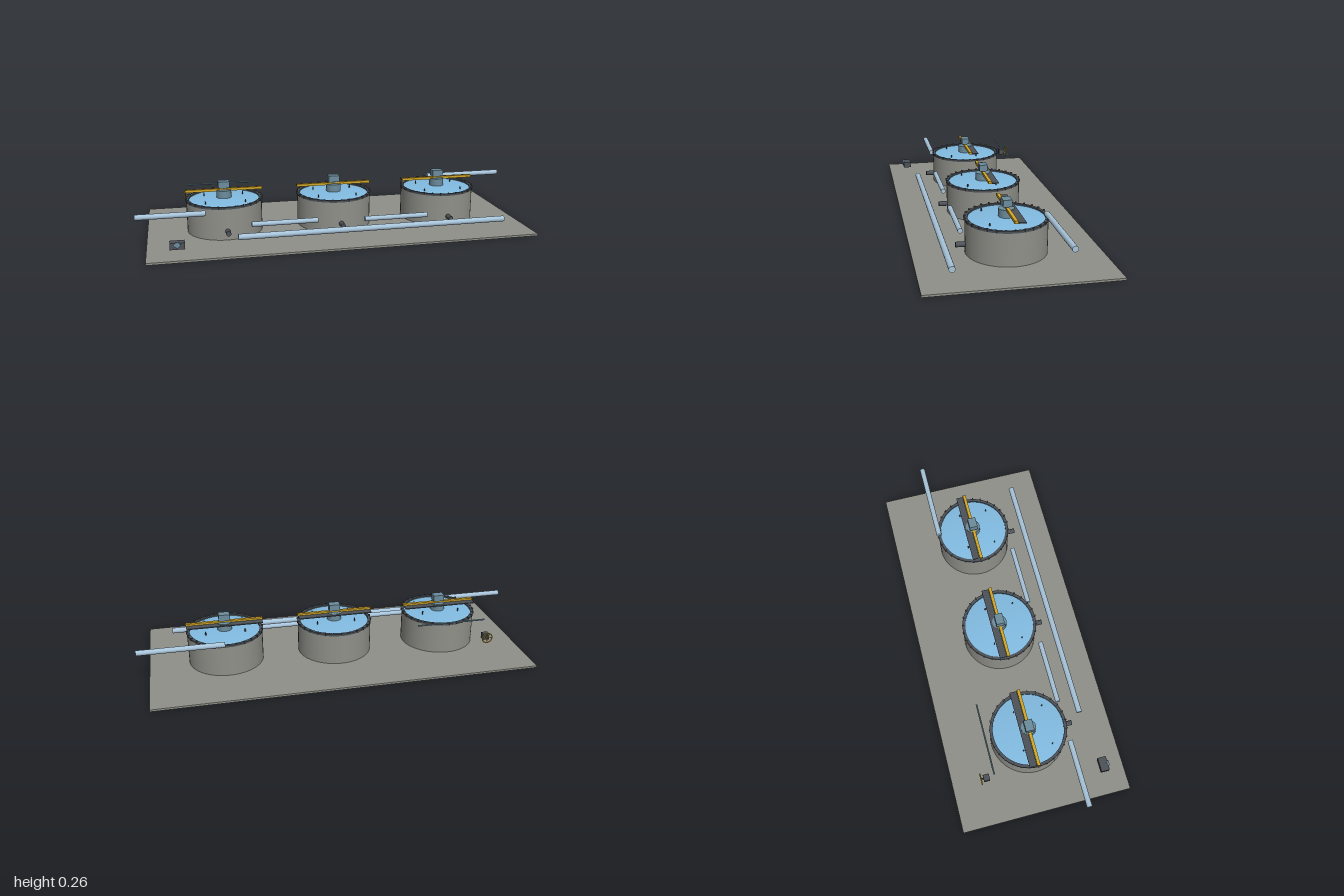
import * as THREE from 'three';

const flat = (name, color) => Object.assign(new THREE.MeshStandardMaterial({ color }), { name });

export function createModel() {
  const concrete = flat('concrete', 0x90908a);
  const water = flat('water', 0x82bce2);
  const steel = flat('dark steel', 0x4c5258);
  const pipeBlue = flat('pale blue pipe', 0xa8c4da);
  const machine = flat('blue grey machinery', 0x6c8c9c);
  const yellow = flat('safety yellow', 0xd2a626);

  const root = new THREE.Group();
  root.name = 'clarifierPlant';

  function add(parent, name, geometry, material, x = 0, y = 0, z = 0) {
    const mesh = new THREE.Mesh(geometry, material);
    mesh.name = name;
    mesh.position.set(x, y, z);
    parent.add(mesh);
    return mesh;
  }
  const box = (w, h, d) => new THREE.BoxGeometry(w, h, d);
  const rod = (r, length, sides = 20) => new THREE.CylinderGeometry(r, r, length, sides);
  // Flat profile corners are listed twice so that lathe edges stay sharp
  const lathe = (points) => new THREE.LatheGeometry(points.map(([r, y]) => new THREE.Vector2(r, y)), 48);

  // Straight pipe along x
  function pipe(name, x0, x1, y, z, r, material = pipeBlue) {
    add(root, name, rod(r, x1 - x0), material, (x0 + x1) / 2, y, z).rotation.z = Math.PI / 2;
  }

  // Ground slab
  add(root, 'groundSlab', box(1.906, 0.01, 0.86), concrete, 0, 0.005, 0);

  function makeTank(x) {
    const tank = new THREE.Group();
    tank.name = 'tank';
    tank.position.x = x;
    root.add(tank);

    // Wall and gently domed water surface
    add(tank, 'tankWall', rod(0.189, 0.156, 48), concrete, 0, 0.088, 0);
    const dome = [];
    for (let i = 0; i <= 8; i++) {
      const r = 0.18 * (1 - i / 8);
      dome.push([r, 0.1675 + 0.01 * (1 - (r / 0.18) ** 2)]);
    }
    add(tank, 'waterSurface', lathe(dome), water);

    // Weir ring with teeth around the rim
    add(tank, 'weirRing', lathe([
      [0.176, 0.165], [0.191, 0.165], [0.191, 0.165], [0.191, 0.175],
      [0.191, 0.175], [0.176, 0.175], [0.176, 0.175], [0.176, 0.165],
    ]), steel);
    for (let i = 0; i < 28; i++) {
      const a = (i / 28) * Math.PI * 2;
      const tooth = add(tank, 'weirTooth', box(0.006, 0.012, 0.01), steel,
        0.189 * Math.cos(a), 0.174, 0.189 * Math.sin(a));
      tooth.rotation.y = Math.PI / 2 - a;
    }

    // Small probes standing in the water
    for (const sx of [-1, 1]) {
      add(tank, 'frontProbe', rod(0.003, 0.018, 8), steel, sx * 0.098, 0.176, 0.096);
      add(tank, 'backProbe', rod(0.003, 0.022, 8), steel, sx * 0.098, 0.18, -0.05);
    }

    // Central drive column, bridge deck, yellow beam and motor
    add(tank, 'driveColumn', rod(0.037, 0.045, 28), machine, 0, 0.1925, 0);
    add(tank, 'bridgeDeck', box(0.38, 0.005, 0.036), steel, 0, 0.2105, -0.028);
    add(tank, 'bridgeBeam', box(0.386, 0.013, 0.016), yellow, 0, 0.2155, -0.001);
    add(tank, 'motorShaft', rod(0.008, 0.014, 12), machine, 0, 0.224, 0);
    add(tank, 'motorHousing', box(0.056, 0.033, 0.042), machine, 0, 0.243, 0);

    // Drain stub at the front
    add(tank, 'drainStub', rod(0.0125, 0.055), steel, 0, 0.055, 0.206).rotation.x = Math.PI / 2;
  }
  [-0.566, 0, 0.566].forEach(makeTank);

  // Process pipes
  pipe('inletPipe', -1, -0.67, 0.152, 0.186, 0.0135);
  pipe('outletPipe', 0.58, 1, 0.179, -0.185, 0.0135);
  pipe('firstTransferPipe', -0.45, -0.12, 0.083, 0.192, 0.0125);
  pipe('secondTransferPipe', 0.12, 0.45, 0.073, 0.192, 0.0125);
  pipe('sludgePipe', -0.525, 0.83, 0.055, 0.287, 0.0145);
  pipe('dosingLine', -0.742, -0.387, 0.193, -0.218, 0.004, machine);

  // Pump with a round front cover
  add(root, 'pumpBody', box(0.07, 0.032, 0.042), steel, -0.81, 0.051, 0.327);
  add(root, 'pumpCover', rod(0.014, 0.01), machine, -0.81, 0.058, 0.349).rotation.x = Math.PI / 2;

  // Valve with a spoked hand wheel
  const valve = new THREE.Group();
  valve.name = 'valve';
  valve.position.set(-0.737, 0.119, -0.257);
  root.add(valve);
  add(valve, 'valveBody', box(0.032, 0.031, 0.03), steel);
  add(valve, 'valveStem', rod(0.004, 0.018, 10), steel, 0, 0, -0.02).rotation.x = Math.PI / 2;
  add(valve, 'handWheel', new THREE.TorusGeometry(0.026, 0.003, 8, 28), yellow, 0, 0, -0.027);
  for (const turn of [0, Math.PI / 2]) {
    add(valve, 'wheelSpoke', rod(0.002, 0.052, 8), yellow, 0, 0, -0.027).rotation.z = turn;
  }

  return root;
}
